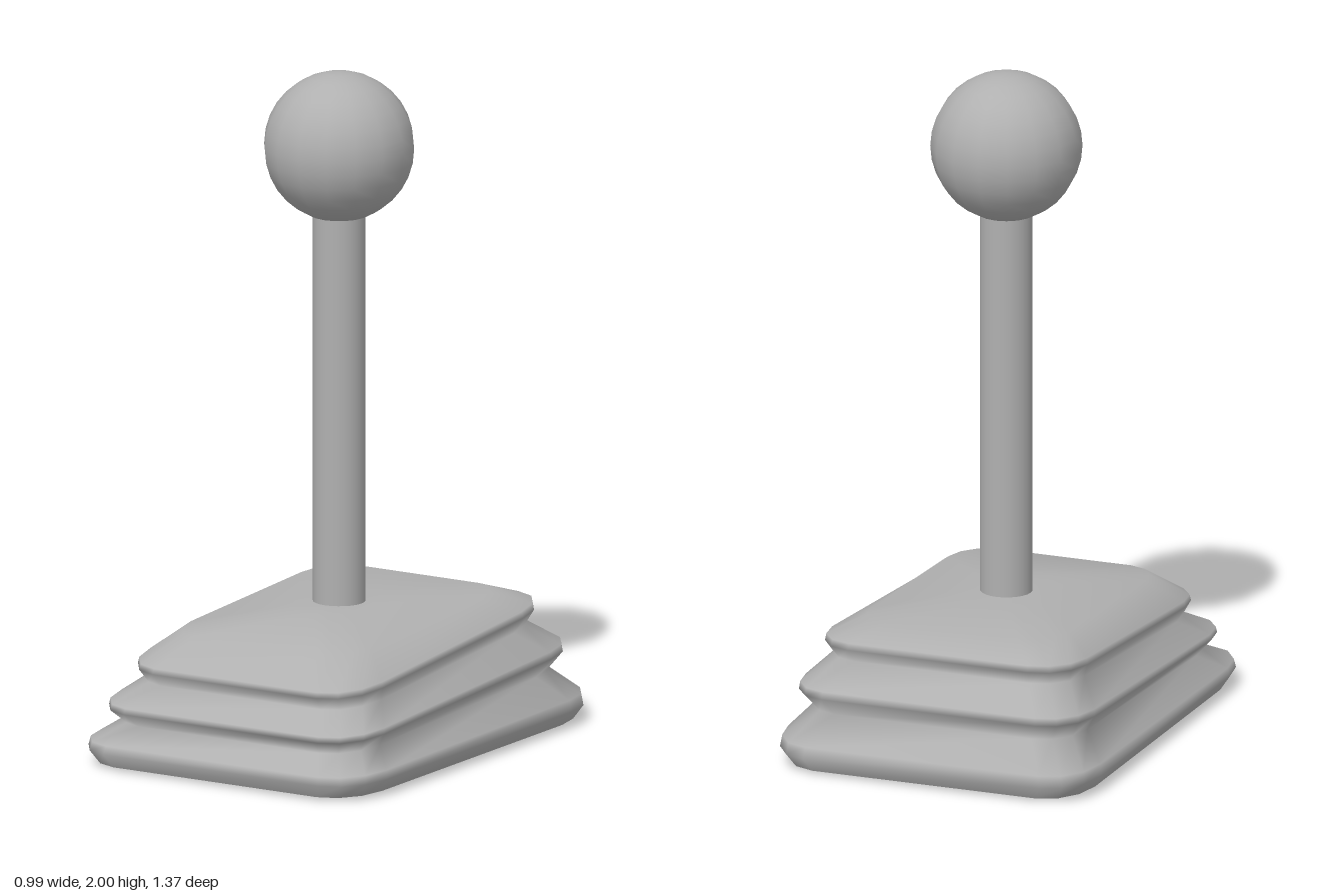
import * as THREE from 'three';

const grey = new THREE.MeshStandardMaterial({ color: 0xb0b0b0, side: THREE.DoubleSide });
grey.name = 'grey';

// Rounded rectangle cross-section, sheared in height from front to back
function ring(hx, hz, rx, rz, yFront, yBack) {
  const pts = [];
  const corners = [[1, 1], [-1, 1], [-1, -1], [1, -1]];
  corners.forEach(([sx, sz], q) => {
    for (let k = 0; k <= 3; k++) {
      const a = (q + k / 3) * Math.PI / 2;
      const x = sx * (hx - rx) + rx * Math.cos(a);
      const z = sz * (hz - rz) + rz * Math.sin(a);
      pts.push([x, THREE.MathUtils.lerp(yBack, yFront, (z / hz + 1) / 2), z]);
    }
  });
  return pts;
}

// Skin a stack of closed cross-sections
function loft(rings) {
  const n = rings[0].length, index = [];
  for (let j = 0; j < rings.length - 1; j++) {
    for (let i = 0; i < n; i++) {
      const a = j * n + i, b = j * n + (i + 1) % n;
      index.push(a, a + n, b, b, a + n, b + n);
    }
  }
  const geo = new THREE.BufferGeometry();
  geo.setAttribute('position', new THREE.Float32BufferAttribute(rings.flat(2), 3));
  geo.setIndex(index);
  geo.computeVertexNormals();
  return geo;
}

export function createModel() {
  const group = new THREE.Group();
  const add = (name, geo, x, y, z) => {
    const mesh = new THREE.Mesh(geo, grey);
    mesh.name = name;
    mesh.position.set(x, y, z);
    group.add(mesh);
  };

  // Pleated boot, open underneath: half width, half depth, corner radii, front and back height
  add('boot', loft([
    [0.47, 0.66, 0.12, 0.17, 0.01, 0.01],
    [0.495, 0.683, 0.125, 0.18, 0.05, 0.05],
    [0.49, 0.678, 0.125, 0.18, 0.075, 0.085],
    [0.42, 0.585, 0.11, 0.16, 0.122, 0.165],
    [0.455, 0.628, 0.12, 0.17, 0.163, 0.22],
    [0.453, 0.623, 0.12, 0.17, 0.18, 0.242],
    [0.385, 0.52, 0.11, 0.16, 0.235, 0.312],
    [0.403, 0.553, 0.12, 0.17, 0.275, 0.355],
    [0.4, 0.55, 0.12, 0.17, 0.292, 0.375],
    [0.31, 0.44, 0.1, 0.14, 0.375, 0.413],
    [0.1, 0.16, 0.08, 0.1, 0.415, 0.417],
    [0.05, 0.05, 0.05, 0.05, 0.417, 0.417],
  ].map(r => ring(...r))), 0, 0, 0);

  // Lever shaft and ball knob
  add('shaft', new THREE.CylinderGeometry(0.077, 0.077, 1.6, 24), -0.005, 0.8, -0.025);
  add('knob', new THREE.SphereGeometry(0.222, 16, 16), -0.005, 1.778, -0.025);
  return group;
}
